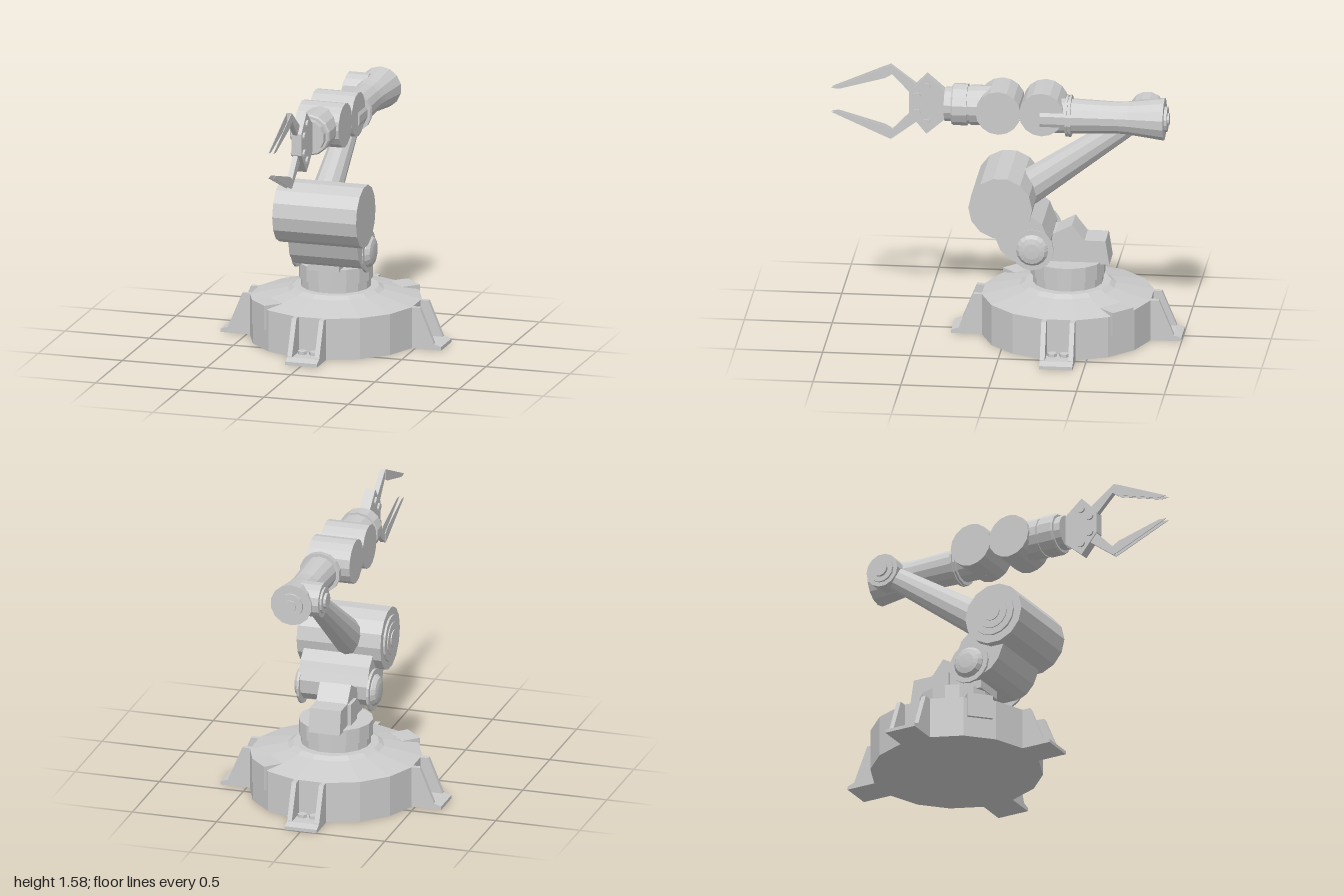
import * as THREE from 'three';

const mat = new THREE.MeshStandardMaterial({ color: 0xcccccc, flatShading: true, side: THREE.DoubleSide });

function add(parent, name, geo) {
  const m = new THREE.Mesh(geo, mat);
  m.name = name;
  parent.add(m);
  return m;
}

// Lathe from [radius, height] pairs, with a polygon of n sides
function lathe(pts, n, phase = 0) {
  return new THREE.LatheGeometry(pts.map(p => new THREE.Vector2(p[0], p[1])), n, phase);
}

// Cylinder along x
function xCyl(r, x0, x1, y, z, n = 14) {
  return new THREE.CylinderGeometry(r, r, x1 - x0, n).rotateZ(Math.PI / 2).translate((x0 + x1) / 2, y, z);
}

function polygon(pts) {
  return new THREE.Shape(pts.map(p => new THREE.Vector2(p[0], p[1])));
}

// Side profile of [z, y] pairs, extruded from x0 to x1
function sideProfile(pts, x0, x1) {
  return new THREE.ExtrudeGeometry(polygon(pts), { depth: x1 - x0, bevelEnabled: false })
    .rotateY(-Math.PI / 2).translate(x1, 0, 0);
}

function buildBase(model) {
  const base = new THREE.Group();
  base.name = 'base';
  base.position.z = -0.343;
  model.add(base);
  add(base, 'pedestal', lathe([[0, 0], [0.49, 0], [0.49, 0.24], [0.275, 0.29], [0.245, 0.31], [0, 0.31]], 16, Math.PI / 16));
  add(base, 'turntable', lathe([[0.2, 0.3], [0.2, 0.36], [0.212, 0.36], [0.212, 0.45], [0, 0.45]], 16, Math.PI / 16));

  // Four gusseted, bolted feet
  for (let i = 0; i < 4; i++) {
    const foot = new THREE.Group();
    foot.name = 'foot';
    foot.rotation.y = i * Math.PI / 2;
    base.add(foot);
    const plate = polygon([[0.42, 0], [0.655, 0], [0.655, 0.02], [0.61, 0.035], [0.42, 0.035]]);
    add(foot, 'footPlate', new THREE.ExtrudeGeometry(plate, { depth: 0.19, bevelEnabled: false }).translate(0, 0, -0.095));
    const web = polygon([[0.44, 0], [0.615, 0], [0.61, 0.04], [0.527, 0.24], [0.44, 0.24]]);
    for (const s of [-1, 1]) {
      add(foot, 'gusset', new THREE.ExtrudeGeometry(web, { depth: 0.028, bevelEnabled: false }).translate(0, 0, s * 0.081 - 0.014));
      add(foot, 'footBolt', new THREE.CylinderGeometry(0.028, 0.028, 0.02, 6).translate(0.518, 0.043, s * 0.034));
    }
  }
  // Housings on two opposite diagonals
  for (const a of [Math.PI / 4, Math.PI * 5 / 4]) {
    add(base, 'baseHousing', new THREE.BoxGeometry(0.115, 0.143, 0.15).translate(0.439, 0.1925, 0).rotateY(a));
  }
}

function buildShoulder(model) {
  add(model, 'turretBlock', sideProfile([[-0.13, 0.44], [-0.587, 0.44], [-0.565, 0.58], [-0.445, 0.58],
    [-0.375, 0.67], [-0.28, 0.62], [-0.13, 0.6]], -0.1, 0.085));
  add(model, 'turretBox', new THREE.BoxGeometry(0.05, 0.13, 0.11).translate(-0.095, 0.51, -0.385));

  // Waist joint with flanges and domed caps
  add(model, 'waistLink', sideProfile([[0.06, 0.72], [0.05, 0.65], [0.016, 0.565], [-0.03, 0.515], [-0.09, 0.488],
    [-0.2, 0.488], [-0.255, 0.54], [-0.265, 0.62], [-0.24, 0.68], [-0.222, 0.725], [-0.15, 0.78], [0, 0.84]], -0.16, 0.25));
  for (const s of [-1, 1]) {
    add(model, 'waistFlange', xCyl(0.122, 0.04 + s * 0.207 - 0.007, 0.04 + s * 0.207 + 0.007, 0.572, -0.166, 16));
    const dome = lathe([[0.092, 0], [0.092, 0.015], [0.075, 0.035], [0.045, 0.042], [0, 0.044]], 16);
    add(model, 'waistCap', dome.rotateZ(-s * Math.PI / 2).translate(0.04 + s * 0.205, 0.572, -0.166));
  }

  // Shoulder drum with stepped rings on its right end
  add(model, 'shoulderDrum', xCyl(0.182, -0.208, 0.29, 0.825, 0.012));
  [0.135, 0.095, 0.05].forEach((r, i) =>
    add(model, 'shoulderRing', xCyl(r, -0.22 - i * 0.006, -0.2, 0.825, 0.012, 16)));
}

function buildUpperArm(model) {
  const a = new THREE.Vector3(0, 0.79, -0.02), b = new THREE.Vector3(0, 1.335, -0.79);
  const dir = b.clone().sub(a);
  const geo = new THREE.CylinderGeometry(0.062, 0.108, dir.length(), 12).scale(0.85, 1, 1);
  const arm = add(model, 'upperArm', geo);
  arm.position.copy(a).add(b).multiplyScalar(0.5);
  arm.quaternion.setFromUnitVectors(new THREE.Vector3(0, 1, 0), dir.normalize());
  add(model, 'elbowHub', xCyl(0.1, -0.068, 0.06, 1.335, -0.79, 14));
  add(model, 'elbowRing', xCyl(0.075, -0.08, -0.06, 1.335, -0.79, 14));
  add(model, 'elbowCap', xCyl(0.045, -0.095, -0.06, 1.335, -0.79, 12));
}

function buildForearm(model) {
  // Profiles run along +z
  const along = (name, pts, x, y) =>
    add(model, name, lathe(pts, 14).rotateX(Math.PI / 2).translate(x, y, 0));
  along('forearm', [[0, -0.93], [0.035, -0.93], [0.035, -0.92], [0.072, -0.92], [0.072, -0.903], [0.122, -0.903],
    [0.095, -0.7], [0.091, -0.635], [0.091, -0.62], [0.1, -0.375], [0.12, -0.375], [0.12, -0.362],
    [0.108, -0.362], [0.108, -0.356], [0.12, -0.356], [0.12, -0.344], [0.1, -0.344], [0.1, -0.2], [0, -0.2]], 0.088, 1.328);
  for (const z of [0.037, -0.21]) add(model, 'forearmDrum', xCyl(0.128, -0.078, 0.176, 1.357, z, 16));
  along('wrist', [[0, 0], [0.115, 0.04], [0.115, 0.205], [0.108, 0.205], [0.108, 0.22], [0.12, 0.22], [0.12, 0.3],
    [0.112, 0.31], [0.098, 0.31], [0.098, 0.35], [0, 0.35]], 0.05, 1.36);
}

function buildGripper(model) {
  const mid = 1.36;
  add(model, 'gripperPlate', sideProfile([[0.345, 1.44], [0.345, 1.28], [0.455, 1.185], [0.553, 1.305],
    [0.553, 1.43], [0.455, 1.535]], 0.022, 0.08));
  for (const s of [-1, 1]) {
    const flip = pts => pts.map(([z, h]) => [z, mid + s * h]);
    for (const [z, h] of [[0.455, 0.107], [0.51, 0.05]]) add(model, 'gripperBolt', xCyl(0.023, 0.01, 0.092, mid + s * h, z, 8));
    add(model, 'fingerArm', sideProfile(flip([[0.5, 0.075], [0.545, 0.055], [0.69, 0.145], [0.66, 0.222], [0.515, 0.113]].map(
      ([z, h], i) => i === 2 ? [0.655, 0.17] : [z, h])), 0.028, 0.058));
    // Each finger is a pair of thin blades
    for (const x of [0.027, 0.055]) {
      add(model, 'fingerBlade', sideProfile(flip([[0.655, 0.165], [0.695, 0.142], [0.955, 0.068], [1, 0.072], [0.7, 0.205], [0.66, 0.221]]), x - 0.002, x + 0.002));
    }
  }
}

export function createModel() {
  const model = new THREE.Group();
  model.name = 'robotArm';
  buildBase(model);
  buildShoulder(model);
  buildUpperArm(model);
  buildForearm(model);
  buildGripper(model);
  return model;
}
